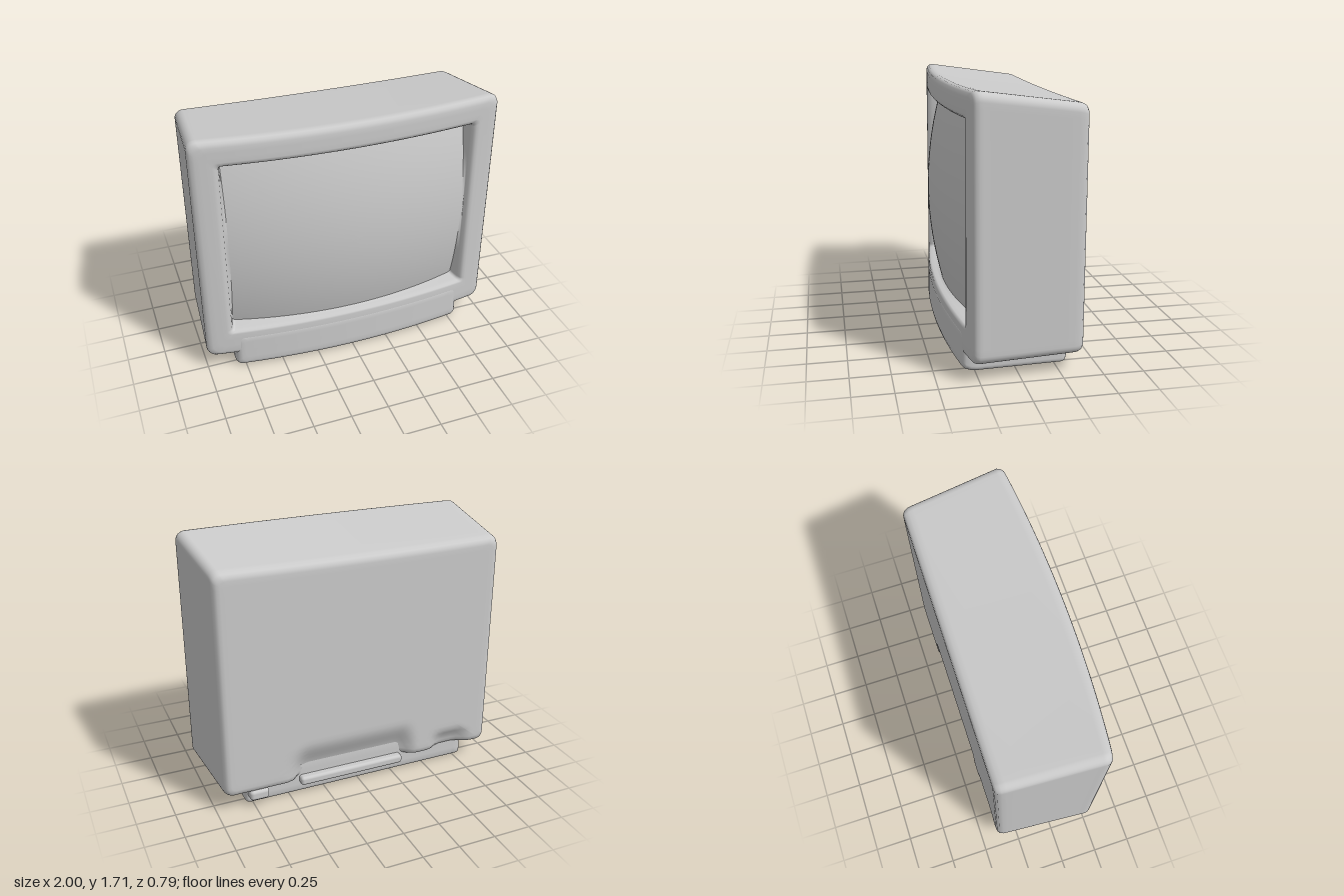
import * as THREE from 'three';
import { RoundedBoxGeometry } from 'three/addons/geometries/RoundedBoxGeometry.js';

const SIDE = 40, CORNER = 6;
const { lerp, smoothstep, clamp } = THREE.MathUtils;

// Rounded rectangle, counter-clockwise seen from the front
function outline(w, y0, y1, r) {
  const h = (y1 - y0) / 2, cy = (y0 + y1) / 2;
  r = Math.max(0, Math.min(r, w, h));
  const pts = [];
  const centres = [[w - r, h - r], [r - w, h - r], [r - w, r - h], [w - r, r - h]];
  centres.forEach(([cx, cz], k) => {
    const a0 = k * Math.PI / 2;
    for (let i = 0; i <= CORNER; i++) {
      const a = a0 + i / CORNER * Math.PI / 2;
      pts.push([cx + r * Math.cos(a), cy + cz + r * Math.sin(a)]);
    }
    const [px, py] = pts[pts.length - 1];
    const [nx, nz] = centres[(k + 1) % 4];
    const a1 = a0 + Math.PI / 2;
    const qx = nx + r * Math.cos(a1), qy = cy + nz + r * Math.sin(a1);
    for (let i = 1; i < SIDE; i++) pts.push([lerp(px, qx, i / SIDE), lerp(py, qy, i / SIDE)]);
  });
  return pts;
}

// Bow of the front, a little stronger towards the bottom
const bow = (x, y) => lerp(0.095, 0.062, clamp(y / 1.7, 0, 1)) * (1 - x * x);

// Domed surface of the tube
const dome = (x, y) => 0.396 - 0.115 * (x / 0.79) ** 2 - 0.082 * ((y - 0.9) / 0.61) ** 2;

// Sloping hollows at the lower edge of the back
function hollow(x, y, z) {
  const span = (a, b, s) => smoothstep(x, a, a + s) * (1 - smoothstep(x, b - s, b));
  const fall = top => 1 - smoothstep(y, 0.17, top);
  const d = 0.075 * span(-0.4, 0.52, 0.12) * fall(0.4)
    + 0.05 * span(-0.84, -0.5, 0.12) * fall(0.28);
  return d * clamp((-z - 0.2) / 0.15, 0, 1);
}

// Skin over rings of [halfWidth, bottom, top, radius, z, bow, dome, steps to next]
function skin(rings, dented) {
  const pos = [], index = [];
  let n = 0, rows = 0;
  rings.forEach((ring, k) => {
    const next = rings[k + 1] || ring;
    const steps = k < rings.length - 1 ? ring[7] || 1 : 1;
    for (let s = 0; s < steps; s++) {
      const [w, y0, y1, r, z, f, d] = ring.slice(0, 7).map((v, i) => lerp(v, next[i], s / steps));
      const pts = outline(w, y0, y1, r);
      n = pts.length;
      for (const [x, y] of pts) {
        let pz = lerp(z + f * bow(x, y), dome(x, y), d);
        if (dented) pz += hollow(x, y, z);
        const crown = y > 1.5 ? 0.012 * (x * x - 1) : 0;
        pos.push(x, y + crown * (1 - d), pz);
      }
      rows++;
    }
  });
  for (let i = 0; i < rows - 1; i++) for (let j = 0; j < n; j++) {
    const k = (j + 1) % n, a = i * n, b = a + n;
    index.push(a + j, a + k, b + k, a + j, b + k, b + j);
  }
  const geo = new THREE.BufferGeometry();
  geo.setAttribute('position', new THREE.Float32BufferAttribute(pos, 3));
  geo.setIndex(index);
  geo.computeVertexNormals();
  return geo;
}

export function createModel() {
  const group = new THREE.Group();
  const material = new THREE.MeshStandardMaterial({ color: 0xcccccc });
  const add = (name, geo, x = 0, y = 0, z = 0) => {
    const mesh = new THREE.Mesh(geo, material);
    mesh.name = name;
    mesh.position.set(x, y, z);
    group.add(mesh);
    return mesh;
  };

  // Cabinet: back panel, tapered walls, bezel
  add('cabinet', skin([
    [0, 0.87, 0.87, 0, -0.39, 0, 0, 22],
    [0.905, 0.17, 1.575, 0.03, -0.39, 0, 0],
    [0.925, 0.15, 1.595, 0.04, -0.387, 0, 0],
    [0.943, 0.132, 1.612, 0.05, -0.375, 0, 0],
    [0.953, 0.122, 1.625, 0.055, -0.35, 0, 0],
    [0.956, 0.12, 1.63, 0.055, -0.32, 0, 0, 6],
    [0.997, 0.113, 1.705, 0.06, 0.23, 0.9, 0],
    [0.999, 0.113, 1.707, 0.06, 0.25, 1, 0],
    [0.995, 0.117, 1.702, 0.06, 0.27, 1, 0],
    [0.983, 0.13, 1.69, 0.055, 0.284, 1, 0],
    [0.96, 0.152, 1.668, 0.05, 0.29, 1, 0, 3],
    [0.865, 0.285, 1.57, 0.03, 0.29, 1, 0],
    [0.845, 0.298, 1.553, 0.025, 0.287, 1, 0],
    [0.828, 0.305, 1.54, 0.02, 0.274, 1, 0],
    [0.818, 0.308, 1.533, 0.02, 0.25, 1, 0, 3],
    [0.8, 0.315, 1.52, 0.02, 0.25, 1, 1],
  ], true));

  // Domed screen
  add('screen', skin([
    [0.81, 0.308, 1.528, 0.02, 0.25, 1, 1, 3],
    [0.74, 0.38, 1.46, 0.02, 0.25, 1, 1, 16],
    [0, 0.9, 0.9, 0, 0.25, 1, 1],
  ], false));

  // Plinth, flush with the bowed bezel
  add('plinth', skin([
    [0.7, 0.1, 0.1, 0, -0.325, 0, 0, 2],
    [0.78, 0.03, 0.24, 0.02, -0.325, 0, 0],
    [0.795, 0.012, 0.25, 0.025, -0.315, 0, 0],
    [0.8, 0.004, 0.255, 0.03, -0.29, 0, 0, 6],
    [0.812, 0, 0.26, 0.03, 0.21, 0.9, 0],
    [0.812, 0.004, 0.26, 0.03, 0.24, 1, 0],
    [0.806, 0.013, 0.255, 0.03, 0.27, 1, 0],
    [0.795, 0.026, 0.25, 0.03, 0.286, 1, 0],
    [0.775, 0.048, 0.24, 0.03, 0.292, 1, 0, 3],
    [0.7, 0.15, 0.15, 0, 0.292, 1, 0],
  ], false));

  // Rear ledge and latch under the back panel
  add('rearLedge', new RoundedBoxGeometry(0.74, 0.06, 0.1, 3, 0.02), 0.06, 0.105, -0.325);
  add('rearLatch', new RoundedBoxGeometry(0.13, 0.075, 0.1, 3, 0.025), 0.72, 0.09, -0.335);

  return group;
}
